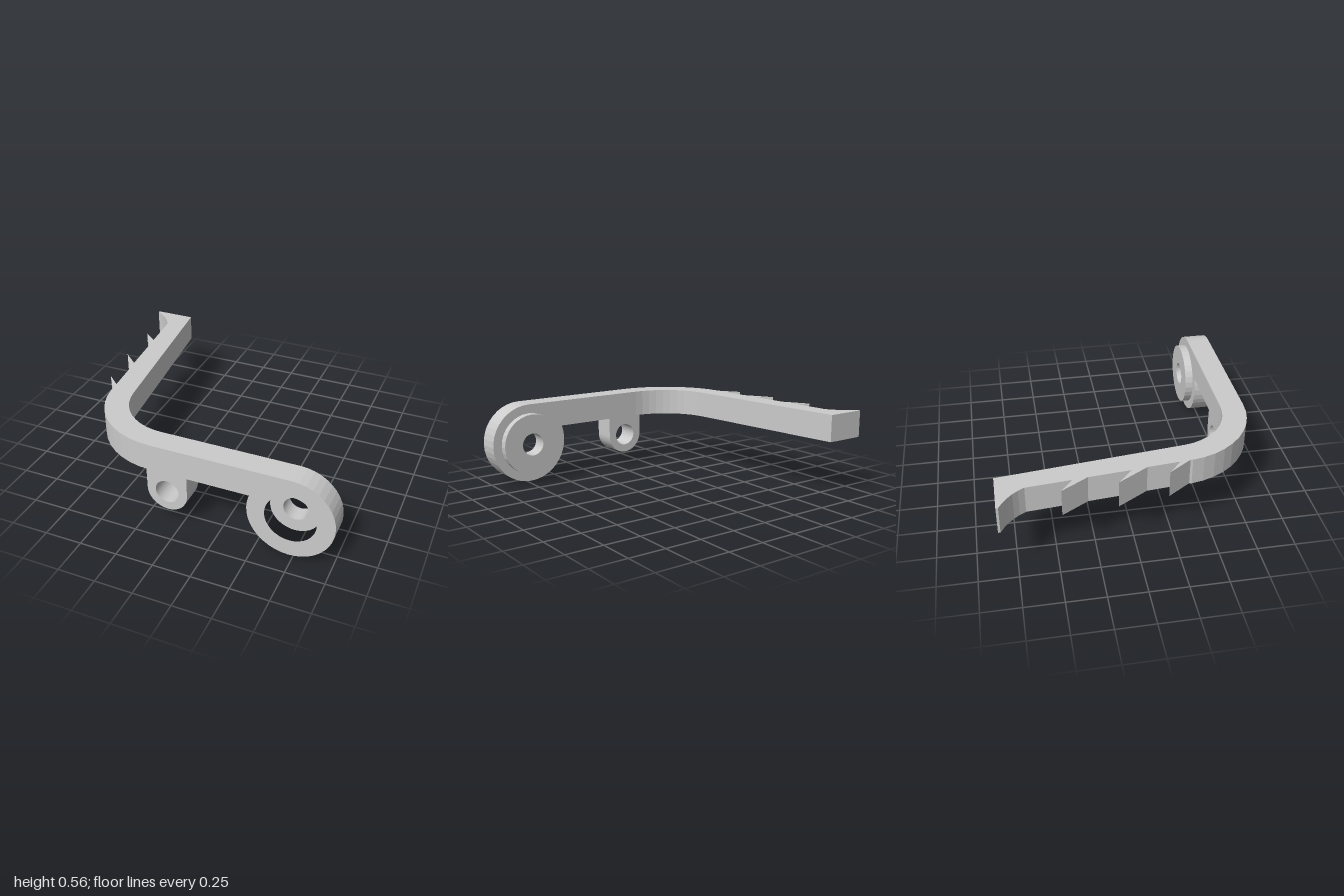
import * as THREE from 'three';

const TOP = 0.56, BAR_BOTTOM = 0.375;       // height range of the bar
const BACK = 0.687, FRONT = 0.847;          // depth range of the front plate
const BEND_X = -0.2, BEND_Z = 0.302;        // centre of the bend
const PIVOT = { x: 0.72, y: 0.28, r: 0.28 };

const material = new THREE.MeshStandardMaterial({ color: 0xcccccc, flatShading: true });

function addMesh(group, name, geometry) {
  const mesh = new THREE.Mesh(geometry, material);
  mesh.name = name;
  group.add(mesh);
}

function addHole(shape, x, y, r) {
  shape.holes.push(new THREE.Path().absarc(x, y, r, 0, Math.PI * 2, true));
}

// Extrudes an outline in the x-y plane through the depth of the front plate
function extrudePlate(shape) {
  return new THREE.ExtrudeGeometry(shape, { depth: FRONT - BACK, bevelEnabled: false, curveSegments: 16 })
    .translate(0, 0, BACK);
}

// Straight front bar ending in a round pivot eye
function plateGeometry() {
  const s = new THREE.Shape();
  const joinAngle = Math.PI - Math.asin((BAR_BOTTOM - PIVOT.y) / PIVOT.r);
  s.moveTo(BEND_X, BAR_BOTTOM);
  s.lineTo(BEND_X, TOP);
  s.lineTo(PIVOT.x, TOP);
  s.absarc(PIVOT.x, PIVOT.y, PIVOT.r, Math.PI / 2, joinAngle - Math.PI * 2, true);
  s.closePath();
  addHole(s, PIVOT.x, PIVOT.y, 0.165);
  return extrudePlate(s);
}

// Recess floor, through hole and raised collar on the back of the pivot
function collarGeometry() {
  const profile = [[0.165, 0.745], [0.08, 0.745], [0.08, 0.632], [0.217, 0.632], [0.217, BACK]]
    .map(([r, z]) => new THREE.Vector2(r, z));
  return new THREE.LatheGeometry(profile, 32)
    .rotateX(Math.PI / 2)
    .translate(PIVOT.x, PIVOT.y, 0);
}

// Small lug hanging below the bar
function lugGeometry() {
  const x = -0.092, y = 0.237, r = 0.137;
  const s = new THREE.Shape();
  s.moveTo(x + r, BAR_BOTTOM);
  s.lineTo(x - r, BAR_BOTTOM);
  s.absarc(x, y, r, Math.PI, Math.PI * 2, false);
  s.closePath();
  addHole(s, x, y, 0.08);
  return extrudePlate(s);
}

// Bend and barbed arm, outlined from above in x-z
function armGeometry() {
  const arcEnd = Math.PI - 0.116;
  const s = new THREE.Shape();
  s.moveTo(BEND_X, BACK);
  s.lineTo(BEND_X, FRONT);
  s.absarc(BEND_X, BEND_Z, FRONT - BEND_Z, Math.PI / 2, arcEnd, false);
  // each barb: base, tip, notch
  const barbs = [
    [[-0.738, 0.35], [-0.84, 0.2], [-0.747, 0.285]],
    [[-0.767, 0.075], [-0.885, -0.12], [-0.78, -0.025]],
    [[-0.805, -0.295], [-0.908, -0.465], [-0.815, -0.39]],
  ];
  for (const barb of barbs) for (const [x, z] of barb) s.lineTo(x, z);
  // flared tip
  s.lineTo(-0.842, -0.675);
  s.quadraticCurveTo(-0.89, -0.775, -1, -0.835);
  s.lineTo(-1, -0.85);
  s.lineTo(-0.722, -0.85);
  s.absarc(BEND_X, BEND_Z, BACK - BEND_Z, arcEnd, Math.PI / 2, true);
  return new THREE.ExtrudeGeometry(s, { depth: TOP - BAR_BOTTOM, bevelEnabled: false, curveSegments: 5 })
    .rotateX(Math.PI / 2)
    .translate(0, TOP, 0);
}

export function createModel() {
  const group = new THREE.Group();
  group.name = 'barbedLever';
  addMesh(group, 'frontPlate', plateGeometry());
  addMesh(group, 'pivotCollar', collarGeometry());
  addMesh(group, 'lug', lugGeometry());
  addMesh(group, 'barbedArm', armGeometry());
  return group;
}
